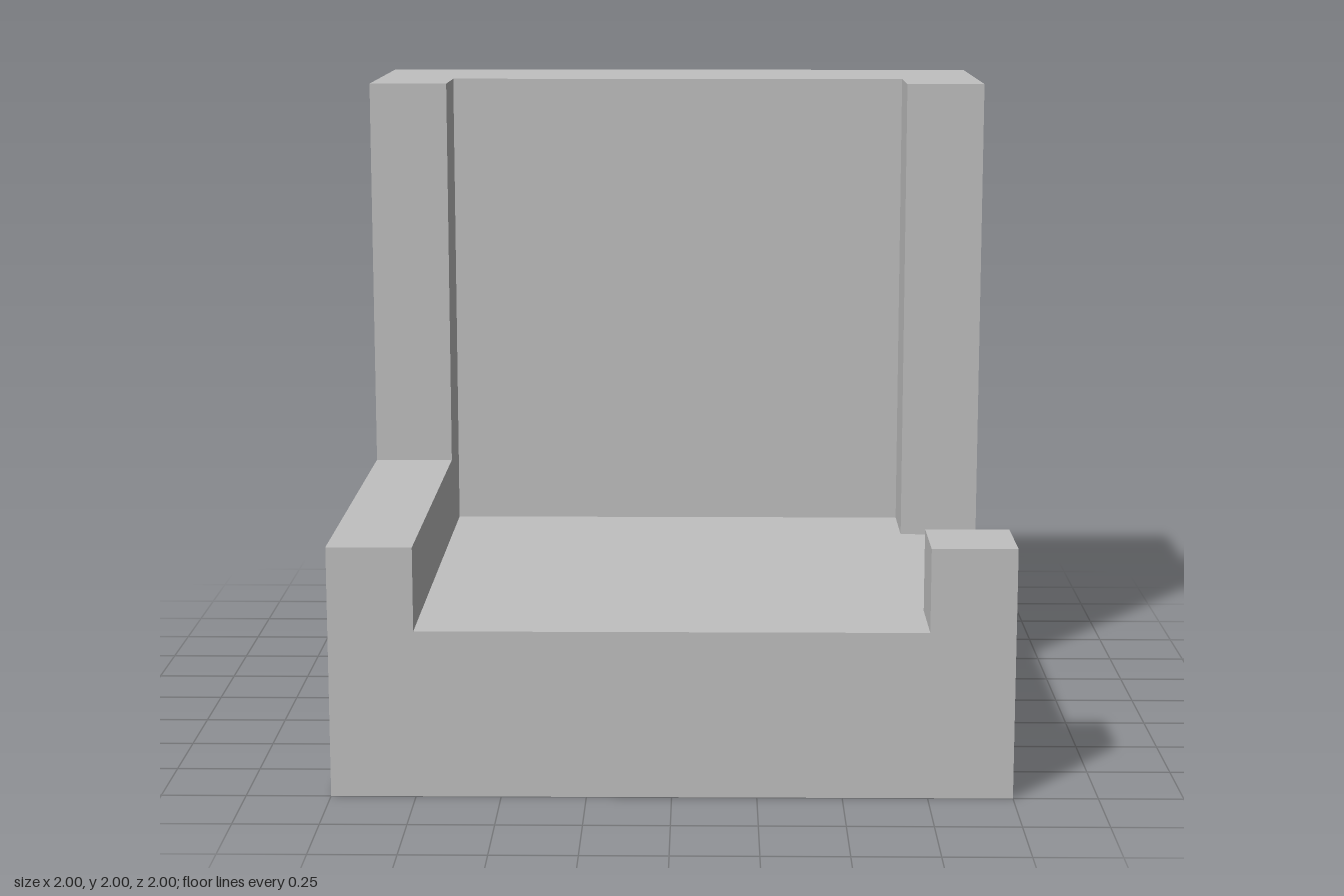
import * as THREE from 'three';

// Side order used by BoxGeometry: +x, -x, +y, -y, +z, -z
const SIDES = ['left', 'right', 'top', 'bottom', 'front', 'back'];

export function createModel() {
  const model = new THREE.Group();
  model.name = 'armchair';
  const grey = new THREE.MeshStandardMaterial({ color: 0xc0c0c0, side: THREE.DoubleSide });
  grey.name = 'light grey';

  // Block between two corners; only the listed sides are kept
  function block(name, [x0, y0, z0], [x1, y1, z1], sides = SIDES) {
    const geometry = new THREE.BoxGeometry(x1 - x0, y1 - y0, z1 - z0);
    const all = Array.from(geometry.index.array);
    geometry.setIndex(sides.flatMap((s) => {
      const start = SIDES.indexOf(s) * 6;
      return all.slice(start, start + 6);
    }));
    geometry.clearGroups();
    geometry.translate((x0 + x1) / 2, (y0 + y1) / 2, (z0 + z1) / 2);
    const mesh = new THREE.Mesh(geometry, grey);
    mesh.name = name;
    model.add(mesh);
  }

  // Tall back with a wing on each side
  block('backrest', [-0.75, 0, -1], [0.75, 2, -0.5], ['top', 'bottom', 'front', 'back']);
  block('leftWing', [0.75, 0, -1], [1, 2, -0.25]);
  block('rightWing', [-1, 0, -1], [-0.75, 2, -0.25]);

  // Full armrest on the right
  block('rightArmrest', [-1, 0, -0.25], [-0.75, 0.75, 1]);

  // Hollow seat, open on the left
  block('seat', [-0.75, 0, -0.5], [0.75, 0.5, 1], ['top', 'bottom', 'front']);
  block('seatSide', [0.75, 0, -0.25], [1, 0.5, 0.75], ['top', 'bottom']);

  // Short front post, hollow and open on its outer side
  block('frontPost', [0.75, 0, 0.75], [1, 0.75, 1], ['right', 'top', 'bottom', 'front', 'back']);

  return model;
}
